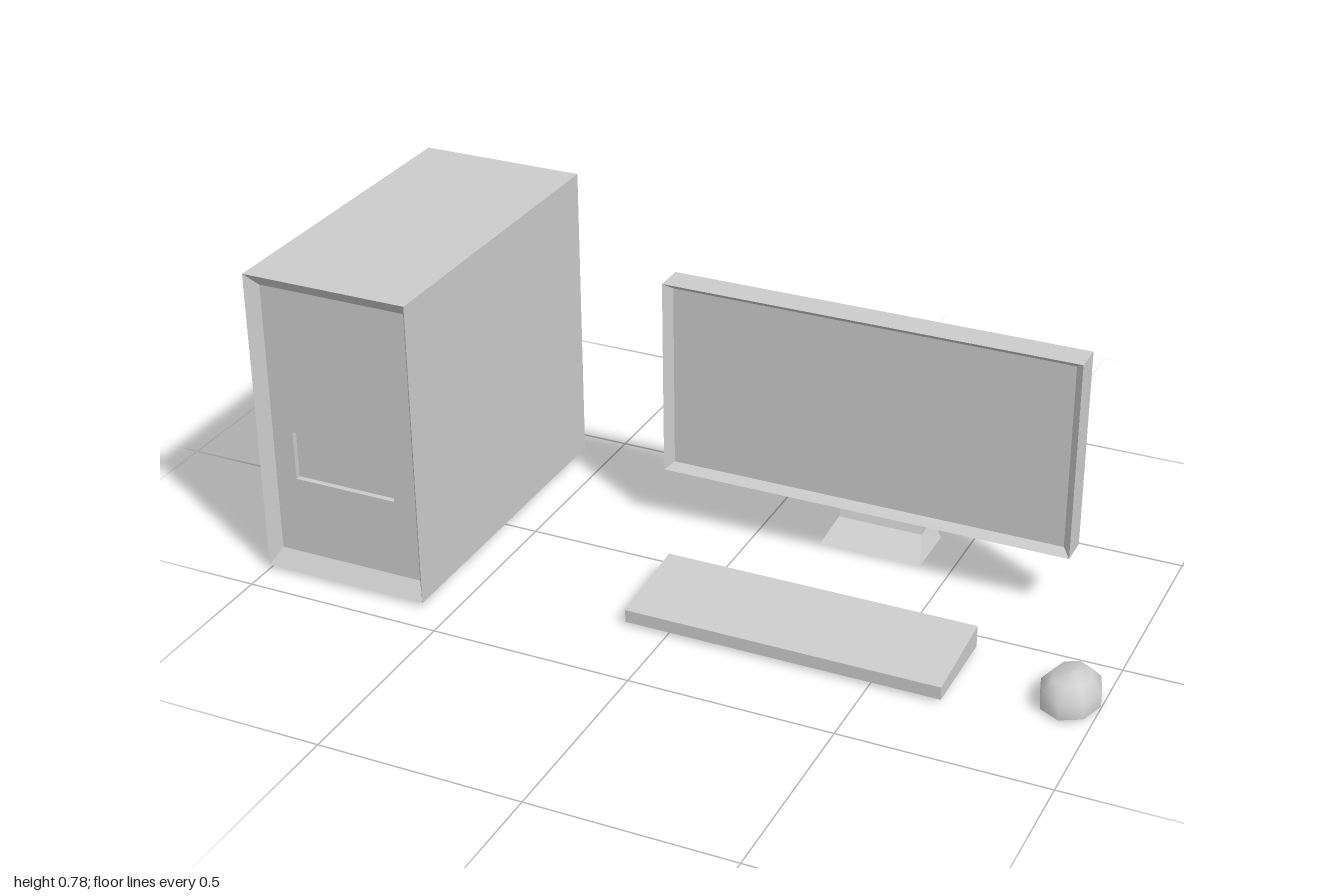
import * as THREE from 'three';

const material = new THREE.MeshStandardMaterial({ color: 0xcccccc, flatShading: true });
const smoothMaterial = new THREE.MeshStandardMaterial({ color: 0xcccccc });

// Four-cornered section: the lower edge at (y0, z0), the upper edge at (y1, z1).
function section(x0, x1, y0, y1, z0, z1 = z0) {
  return [[x0, y0, z0], [x1, y0, z0], [x1, y1, z1], [x0, y1, z1]];
}

// Skins a run of sections ordered front to back, with optional end caps.
function loft(name, sections, capFront = true, capBack = true) {
  const pos = [];
  const quad = (a, b, c, d) => [a, b, c, a, c, d].forEach((p) => pos.push(...p));
  for (let s = 0; s < sections.length - 1; s++) {
    const a = sections[s], b = sections[s + 1];
    for (let i = 0; i < 4; i++) {
      const j = (i + 1) % 4;
      quad(a[i], b[i], b[j], a[j]);
    }
  }
  if (capFront) quad(...sections[0]);
  if (capBack) quad(...[...sections[sections.length - 1]].reverse());
  const geometry = new THREE.BufferGeometry();
  geometry.setAttribute('position', new THREE.Float32BufferAttribute(pos, 3));
  geometry.computeVertexNormals();
  const mesh = new THREE.Mesh(geometry, material);
  mesh.name = name;
  return mesh;
}

// Tower case: drive bay, sunken front panel, shell, and recessed back.
function createTower() {
  return loft('towerCase', [
    section(-0.922, -0.655, 0.25, 0.375, 0.376),
    section(-0.922, -0.655, 0.25, 0.375, 0.39),
    section(-0.977, -0.598, 0.05, 0.745, 0.39),
    section(-1, -0.577, 0.01, 0.78, 0.42),
    section(-1, -0.577, 0.01, 0.78, -0.42),
    section(-0.988, -0.589, 0.03, 0.76, -0.42),
    section(-0.988, -0.589, 0.03, 0.76, -0.34),
  ]);
}

// Monitor: sunken screen and tapered back, joined to a bent, flared stand.
function createMonitor() {
  const wide = (hw, ...rest) => section(-hw, hw, ...rest);
  const screen = wide(0.498, 0.172, 0.64, -0.185);
  const joint = wide(0.18, 0.155, 0.33, -0.27);
  const monitor = new THREE.Group();
  monitor.name = 'monitor';
  monitor.add(
    loft('screenHousing', [
      screen,
      wide(0.518, 0.155, 0.656, -0.165),
      wide(0.518, 0.155, 0.656, -0.24),
      joint,
    ], true, false),
    loft('stand', [
      joint,
      wide(0.108, 0.145, 0.267, -0.31, -0.346),
      wide(0.108, 0.103, 0.11, -0.322, -0.38),
      wide(0.108, 0.047, 0.05, -0.303, -0.383),
      wide(0.13, 0, 0, -0.235, -0.385),
    ], false, true),
  );
  monitor.position.x = 0.293;
  return monitor;
}

// Keyboard: a wedge, higher at the back.
function createKeyboard() {
  return loft('keyboard', [
    section(-0.108, 0.67, 0.008, 0.04, 0.293),
    section(-0.108, 0.67, 0.008, 0.063, 0.055),
  ]);
}

// Mouse: an eight-sided dome, stretched front to back, on a flat base.
function createMouse() {
  const dome = [[0.09, 0.006], [0.09, 0.043], [0.058, 0.073], [0, 0.083]];
  const parts = { mouseDome: dome, mouseBase: [[0, 0.006], [0.09, 0.006]] };
  const mouse = new THREE.Group();
  mouse.name = 'mouse';
  for (const [name, profile] of Object.entries(parts)) {
    const points = profile.map(([r, y]) => new THREE.Vector2(r, y));
    const mesh = new THREE.Mesh(new THREE.LatheGeometry(points, 8), smoothMaterial);
    mesh.name = name;
    mouse.add(mesh);
  }
  mouse.scale.x = 0.78;
  mouse.position.set(0.93, 0, 0.17);
  return mouse;
}

export function createModel() {
  const model = new THREE.Group();
  model.name = 'desktopComputer';
  model.add(createTower(), createMonitor(), createKeyboard(), createMouse());
  return model;
}
